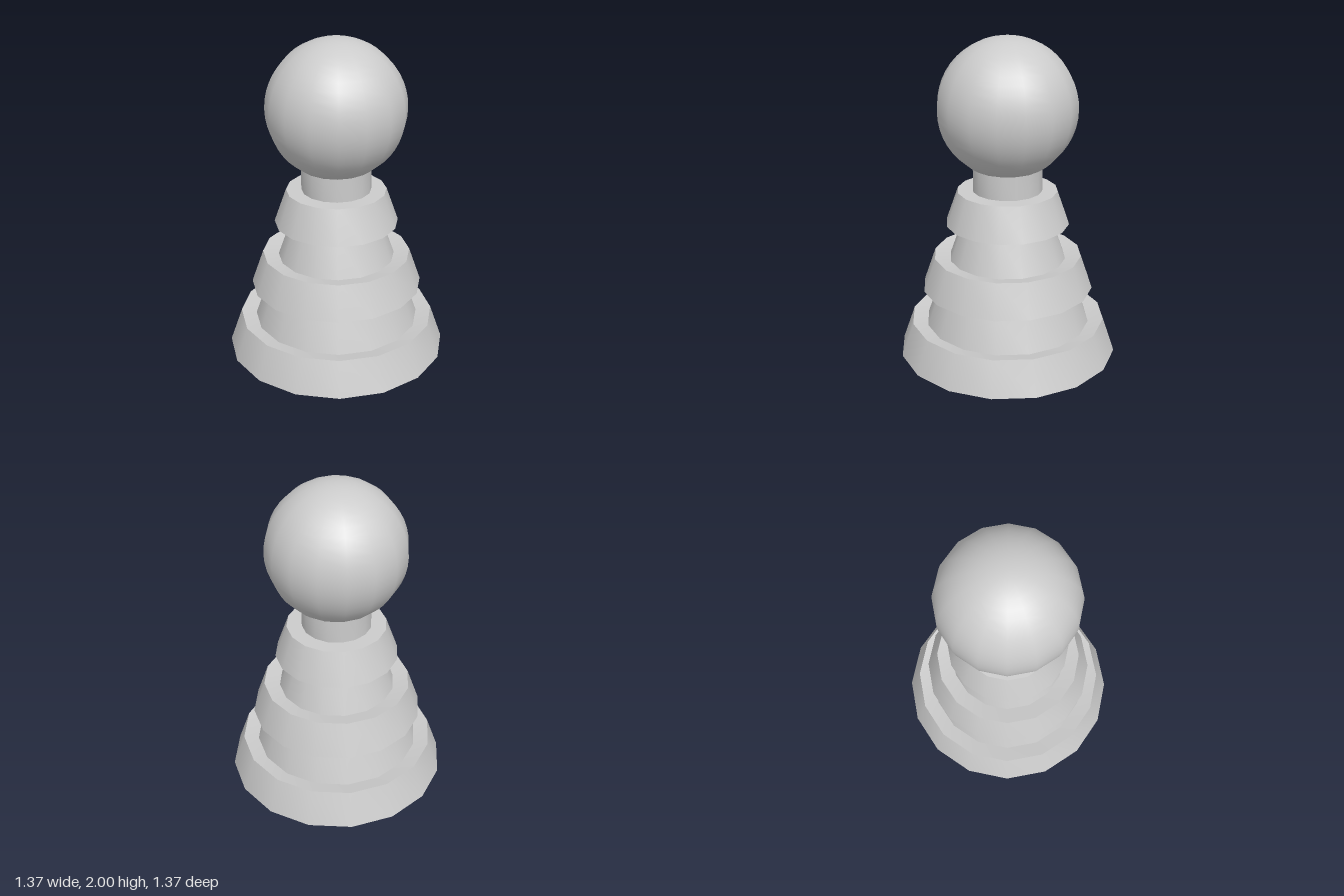
import * as THREE from 'three';
import { toCreasedNormals } from 'three/addons/utils/BufferGeometryUtils.js';

const SIDES = 16;

export function createModel() {
  const group = new THREE.Group();
  const material = new THREE.MeshStandardMaterial({ color: 0xcccccc });

  const add = (name, geometry) => {
    const mesh = new THREE.Mesh(geometry, material);
    mesh.name = name;
    group.add(mesh);
    return mesh;
  };

  // Stepped body: flared collars alternating with narrower cones.
  // Undersides and ledges tilt down slightly towards the axis.
  const profile = [
    [0, 0], [0.685, 0], [0.61, 0.215],         // foot
    [0.515, 0.195], [0.44, 0.413],             // lower cone
    [0.533, 0.43], [0.46, 0.64],               // middle collar
    [0.362, 0.62], [0.287, 0.835],             // upper cone
    [0.382, 0.85], [0.308, 1.06],              // top collar
    [0.214, 1.06], [0.214, 1.215], [0, 1.215], // neck
  ].map(([r, y]) => new THREE.Vector2(r, y));
  add('body', toCreasedNormals(new THREE.LatheGeometry(profile, SIDES), 0.5));

  // Round head resting on the neck
  add('head', new THREE.SphereGeometry(0.425, SIDES, 24)).position.y = 1.575;

  return group;
}
